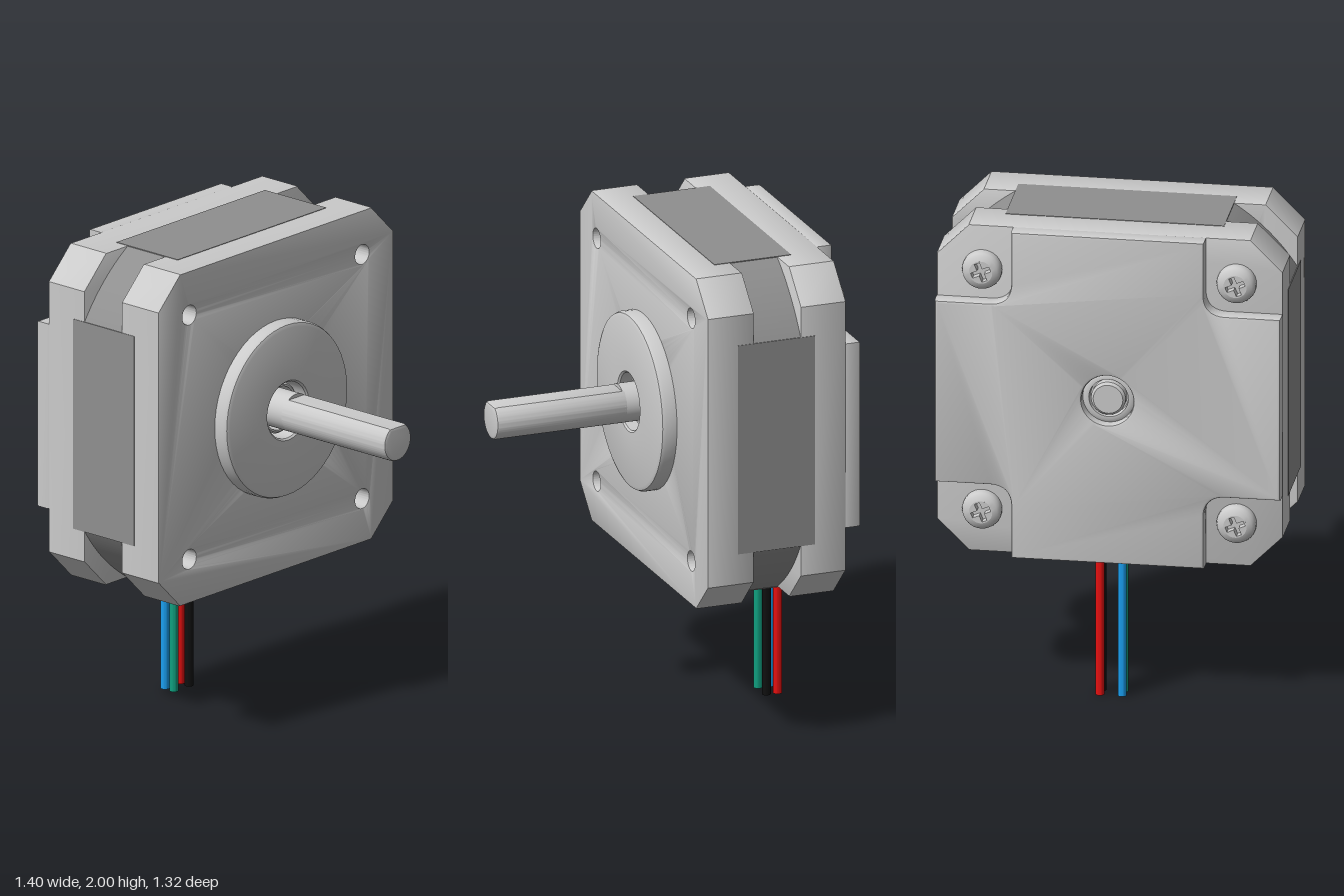
import * as THREE from 'three';
import { toCreasedNormals } from 'three/addons/utils/BufferGeometryUtils.js';

const H = 0.7;        // half width of the body
const HOLE = 0.515;   // screw offset from the axis
const corners = [[1, 1], [-1, 1], [-1, -1], [1, -1]];

const grey = new THREE.MeshStandardMaterial({ color: 0xcccccc });
const dark = new THREE.MeshStandardMaterial({ color: 0x8f8f8f });

export function createModel() {
  const model = new THREE.Group();
  const motor = new THREE.Group();
  motor.name = 'motor';
  motor.position.y = 1.3;
  model.add(motor);

  const add = (name, geometry, material = grey, parent = motor) => {
    const mesh = new THREE.Mesh(toCreasedNormals(geometry, 0.6), material);
    mesh.name = name;
    parent.add(mesh);
    return mesh;
  };

  // Extrusion between two z values with a small bevel that keeps the outline size
  const slab = (shape, z0, z1, b = 0) => new THREE.ExtrudeGeometry(shape, {
    depth: z1 - z0 - 2 * b, bevelEnabled: b > 0, bevelThickness: b, bevelSize: b,
    bevelOffset: -b, bevelSegments: 2, curveSegments: 40,
  }).translate(0, 0, z0 + b);

  // Turned part about the z axis; points are [radius, z]
  const turned = (points, segments = 56) => new THREE.LatheGeometry(
    points.map(([r, z]) => new THREE.Vector2(r, z)), segments).rotateX(Math.PI / 2);

  const addHole = (shape, x, y, r) =>
    shape.holes.push(new THREE.Path().absarc(x, y, r, 0, Math.PI * 2, true));

  const octagon = () => {
    const c = 0.57;
    return new THREE.Shape([[H, -c], [H, c], [c, H], [-c, H], [-H, c], [-H, -c], [-c, -H], [c, -H]]
      .map(([x, y]) => new THREE.Vector2(x, y)));
  };

  // Front end cap with mounting holes
  const front = octagon();
  addHole(front, 0, 0, 0.2);
  corners.forEach(([sx, sy]) => addHole(front, sx * HOLE, sy * HOLE, 0.04));
  add('frontCap', slab(front, -0.2, 0, 0.006));
  corners.forEach(([sx, sy]) => {
    add('mountingHoleBottom', turned([[0, -0.12], [0.042, -0.08]], 24)
      .scale(1, 1, 1), new THREE.MeshStandardMaterial({ color: 0xcccccc, side: THREE.DoubleSide }))
      .position.set(sx * HOLE, sy * HOLE, 0);
  });

  // Round-cornered stator between the caps
  const stator = new THREE.Shape();
  const R = Math.hypot(H, 0.44), a0 = Math.atan2(0.44, H);
  for (let k = 0; k < 4; k++) {
    const q = k * Math.PI / 2;
    stator.absarc(0, 0, R, q + a0, q + Math.PI / 2 - a0, false);
  }
  add('stator', slab(stator, -0.41, -0.19), dark);

  // Dark panels on the four sides
  for (let k = 0; k < 4; k++) {
    add('sidePanel', new THREE.BoxGeometry(0.885, 0.02, 0.33).translate(0, H - 0.008, -0.295), dark)
      .rotation.z = k * Math.PI / 2;
  }

  // Rear end cap and raised back plate with notched corners
  add('rearCap', slab(octagon(), -0.595, -0.4, 0.006));
  const back = new THREE.Shape();
  const n = 0.39, f = 0.09;
  corners.forEach(([sx, sy], i) => {
    // Each notch runs counter-clockwise from one side to the next
    const pts = [[H, n], [n + f, n], [n, n], [n, n + f], [n, H]].map(([x, y]) => [sx * x, sy * y]);
    if (sx * sy < 0) pts.reverse();
    if (i === 0) back.moveTo(...pts[0]); else back.lineTo(...pts[0]);
    back.lineTo(...pts[1]);
    back.quadraticCurveTo(...pts[2], ...pts[3]);
    back.lineTo(...pts[4]);
  });
  back.closePath();
  addHole(back, 0, 0, 0.105);
  add('backPlate', slab(back, -0.66, -0.585, 0.012));
  add('rearBearing', turned([[0.11, -0.58], [0.11, -0.615], [0.095, -0.625], [0.08, -0.625], [0.075, -0.58]].reverse()
    .map(([r, z]) => [r, -z])).rotateY(Math.PI).scale(1, 1, 1),
    new THREE.MeshStandardMaterial({ color: 0xcccccc, side: THREE.DoubleSide }));

  // Front pilot boss with a bore, and the bearing inside it
  add('pilotBoss', turned([[0.365, -0.01], [0.365, 0.045], [0.359, 0.059], [0.345, 0.065],
    [0.125, 0.065], [0.118, 0.058], [0.118, -0.06], [0.07, -0.06]]));
  add('frontBearing', turned([[0.105, -0.06], [0.105, 0.015], [0.098, 0.022], [0.09, 0.022], [0.085, -0.06]], 40));

  // Shaft: round core plus a flatted length
  const r = 0.08, flat = Math.asin(0.065 / r);
  add('shaft', turned([[0, -0.64], [0.06, -0.64], [0.07, -0.63], [0.07, -0.4], [r, -0.4], [r, 0.11], [0, 0.11]], 40));
  const dShape = new THREE.Shape().absarc(0, 0, r, Math.PI - flat, Math.PI * 2 + flat, false);
  add('shaftFlat', slab(dShape, 0.09, 0.66, 0.012));

  // Rear screws with a cross recess
  const cross = new THREE.Path();
  const w = 0.011, l = 0.04;
  [[w, l], [w, w], [l, w], [l, -w], [w, -w], [w, -l], [-w, -l], [-w, -w], [-l, -w], [-l, w], [-w, w], [-w, l]]
    .forEach(([x, y], i) => (i ? cross.lineTo(x, y) : cross.moveTo(x, y)));
  const crown = new THREE.Shape().absarc(0, 0, 0.047, 0, Math.PI * 2, false);
  crown.holes.push(cross);
  corners.forEach(([sx, sy]) => {
    const screw = new THREE.Group();
    screw.name = 'rearScrew';
    screw.position.set(sx * HOLE, sy * HOLE, -0.593);
    screw.rotation.set(0, Math.PI, 0.4);
    add('screwHead', turned([[0.08, 0], [0.08, 0.02], [0.076, 0.034], [0.066, 0.045], [0.047, 0.052]], 32), grey, screw);
    add('screwCrown', slab(crown, 0.015, 0.052), grey, screw);
    add('recessFloor', new THREE.CircleGeometry(0.047, 24).translate(0, 0, 0.018), grey, screw);
    motor.add(screw);
  });

  // Cable outlet and four wires
  add('cableOutlet', new THREE.BoxGeometry(0.23, 0.03, 0.12).translate(0, -H + 0.01, -0.535));
  [['green', -0.045, -0.51, 0x10a080], ['black', 0.045, -0.51, 0x101010],
    ['blue', -0.045, -0.558, 0x1a9ff0], ['red', 0.045, -0.558, 0xe81010]].forEach(([name, x, z, color]) => {
    add(name + 'Wire', new THREE.CylinderGeometry(0.018, 0.018, 0.62, 20),
      new THREE.MeshStandardMaterial({ color })).position.set(x, -0.99, z);
  });

  return model;
}
